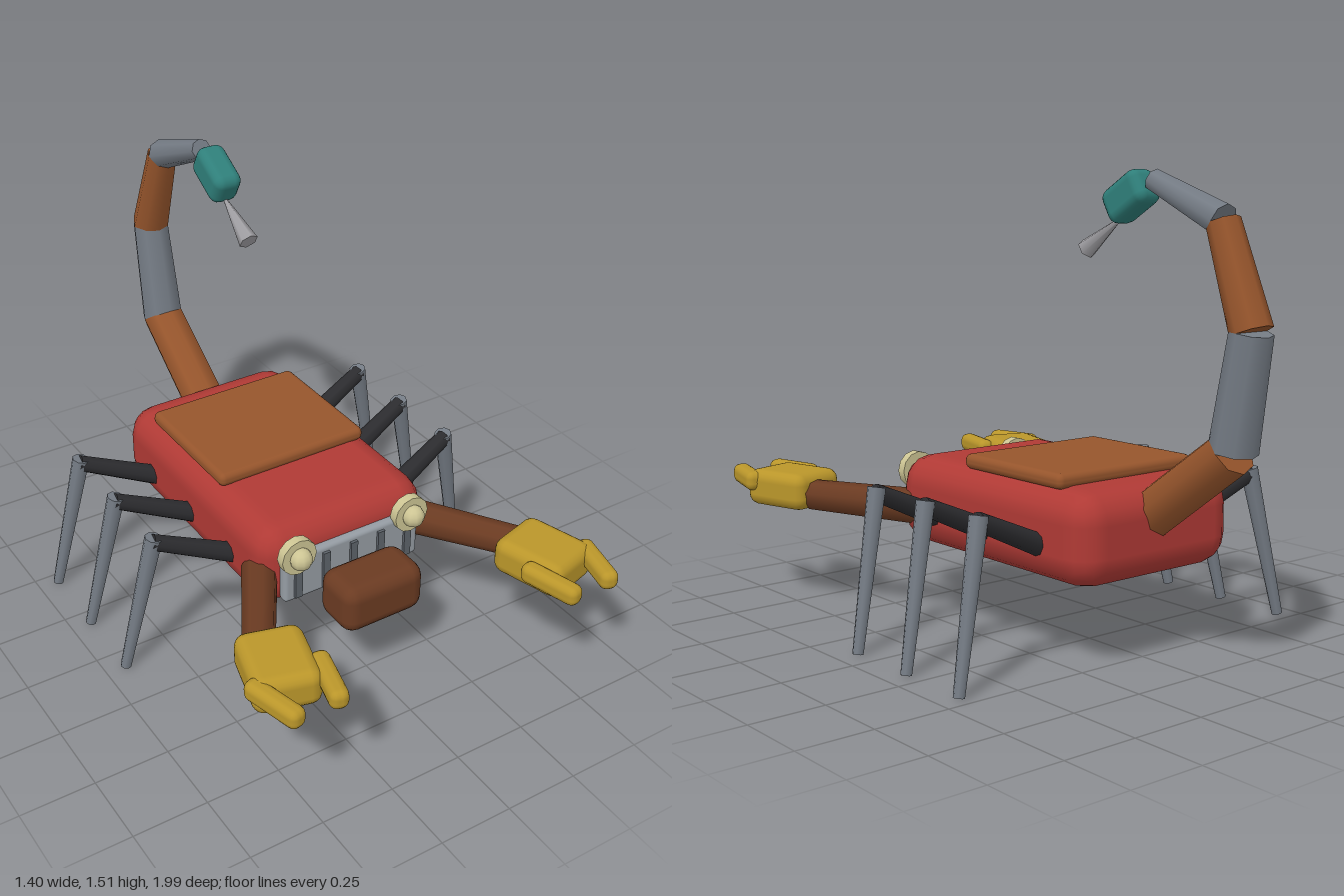
import * as THREE from 'three';
import { RoundedBoxGeometry } from 'three/addons/geometries/RoundedBoxGeometry.js';

const mat = (color) => new THREE.MeshStandardMaterial({ color });
const RED = mat(0xb03a35), BROWN = mat(0x96552c), DARK_BROWN = mat(0x6b3b22), GOLD = mat(0xba962a),
  TEAL = mat(0x2f7f7a), STEEL = mat(0x747b84), BLACK = mat(0x2c2c2f), CREAM = mat(0xcdc594),
  PLATE = mat(0x959ca3), SLAT = mat(0x5d636a), STING = mat(0xa09fa3);

export function createModel() {
  const model = new THREE.Group();
  model.name = 'scorpion';

  const add = (parent, name, geometry, material, pos = [0, 0, 0]) => {
    const mesh = new THREE.Mesh(geometry, material);
    mesh.name = name;
    mesh.position.set(...pos);
    parent.add(mesh);
    return mesh;
  };
  const block = (parent, name, size, radius, material, pos) =>
    add(parent, name, new RoundedBoxGeometry(...size, 2, radius), material, pos);

  // Tapered rod from point a (radius ra) to point b (radius rb)
  const rod = (parent, name, a, b, ra, rb, material, sides = 8) => {
    const from = new THREE.Vector3(...a), to = new THREE.Vector3(...b);
    const dir = to.clone().sub(from);
    const mesh = add(parent, name, new THREE.CylinderGeometry(rb, ra, dir.length(), sides), material);
    mesh.position.copy(from).add(to).multiplyScalar(0.5);
    mesh.quaternion.setFromUnitVectors(new THREE.Vector3(0, 1, 0), dir.normalize());
    return mesh;
  };

  // Body and back plate
  block(model, 'body', [0.65, 0.3, 0.97], 0.1, RED, [0, 0.415, -0.102]);
  block(model, 'backPlate', [0.565, 0.05, 0.48], 0.022, BROWN, [0, 0.58, -0.19]);

  // Face: grille with slats, snout and eyes
  block(model, 'grille', [0.52, 0.17, 0.04], 0.015, PLATE, [0, 0.395, 0.385]);
  for (let i = -2; i <= 2; i++)
    add(model, 'grilleSlat', new THREE.BoxGeometry(0.026, 0.135, 0.02), SLAT, [i * 0.106, 0.393, 0.405]);
  block(model, 'snout', [0.305, 0.175, 0.18], 0.05, DARK_BROWN, [0, 0.342, 0.515]);

  // Tail: tapering segments curling up and forward
  const tail = [
    [0, 0.46, -0.53, 0.078], [0, 0.705, -0.87, 0.075], [0, 1.055, -0.932, 0.065],
    [0, 1.365, -0.815, 0.052], [0, 1.48, -0.53, 0.035],
  ];
  for (let i = 0; i < 4; i++) {
    const a = tail[i], b = tail[i + 1];
    rod(model, 'tailSegment', a.slice(0, 3), b.slice(0, 3), a[3], b[3], i % 2 ? STEEL : BROWN);
  }
  const bulb = block(model, 'tailBulb', [0.1, 0.115, 0.175], 0.032, TEAL, [0, 1.43, -0.43]);
  bulb.rotation.x = 0.53;
  rod(model, 'stinger', [0, 1.365, -0.39], [0, 1.265, -0.23], 0.004, 0.033, STING, 6);

  for (const s of [1, -1]) {
    // Eyes
    add(model, 'eyeRim', new THREE.CylinderGeometry(0.064, 0.064, 0.032, 12), CREAM, [s * 0.217, 0.492, 0.408])
      .rotation.x = Math.PI / 2;
    add(model, 'eye', new THREE.SphereGeometry(0.038, 10, 8), CREAM, [s * 0.217, 0.492, 0.432]);

    // Three jointed legs
    for (let i = 0; i < 3; i++) {
      const z = 0.12 - i * 0.265;
      const leg = new THREE.Group();
      leg.name = 'leg';
      model.add(leg);
      rod(leg, 'upperLeg', [s * 0.29, 0.375, z + 0.045], [s * 0.58, 0.505, z], 0.036, 0.028, BLACK);
      rod(leg, 'lowerLeg', [s * 0.572, 0.52, z], [s * 0.68, 0.006, z - 0.043], 0.03, 0.018, STEEL);
    }

    // Arm with a two-fingered claw
    const arm = new THREE.Group();
    arm.name = 'clawArm';
    model.add(arm);
    rod(arm, 'forearm', [s * 0.285, 0.39, 0.29], [s * 0.5, 0.405, 0.64], 0.06, 0.052, DARK_BROWN);
    block(arm, 'palm', [0.215, 0.127, 0.26], 0.04, GOLD, [s * 0.502, 0.417, 0.752]).rotation.y = s * 0.27;
    for (const f of [1, -1])
      block(arm, 'finger', [0.062, 0.068, 0.212], 0.026, GOLD, [s * (0.508 + f * 0.093), 0.44, 0.893])
        .rotation.y = -s * f * 0.25;
  }
  return model;
}
